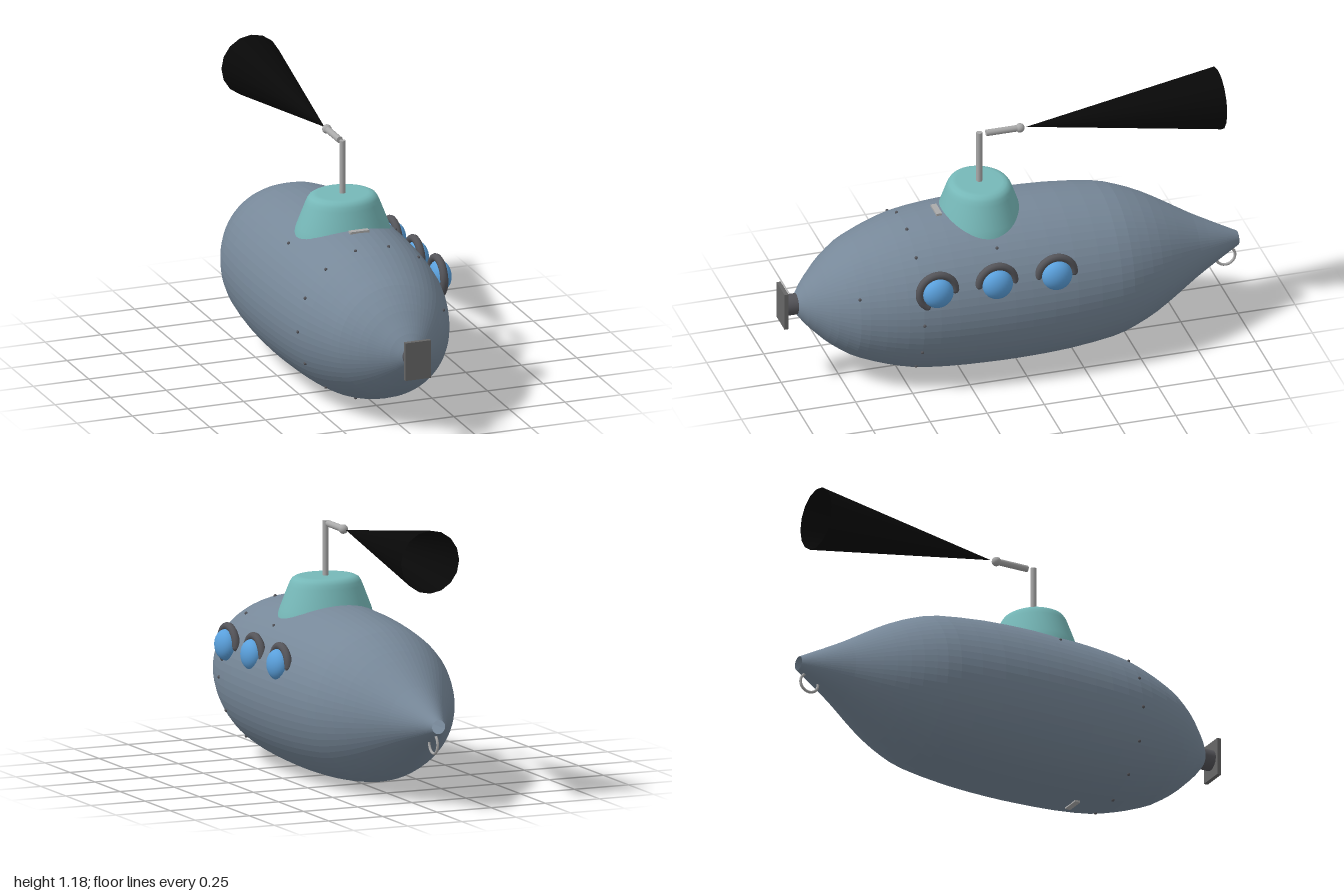
import * as THREE from 'three';

const CX = -0.008, CY = 0.362; // hull axis

const mat = (color, extra = {}) => new THREE.MeshStandardMaterial({ color, ...extra });

export function createModel() {
  const model = new THREE.Group();
  model.name = 'submarine';

  const hullMat = mat(0x778899, { flatShading: true, side: THREE.DoubleSide });
  const towerMat = mat(0x76b8b8);
  const darkMat = mat(0x55555a);
  const plateMat = mat(0x666666);
  const pipeMat = mat(0xaaaaaa);
  const glassMat = mat(0x5aa0dc);
  const blackMat = mat(0x080808, { side: THREE.DoubleSide });

  const add = (name, geometry, material, x, y, z, parent = model) => {
    const mesh = new THREE.Mesh(geometry, material);
    mesh.name = name;
    mesh.position.set(x, y, z);
    parent.add(mesh);
    return mesh;
  };

  // Hull: turned profile (radius, z) running from the open tail to the nose
  const profile = new THREE.SplineCurve([
    [0.03, -1], [0.083, -0.9], [0.138, -0.8], [0.2, -0.7], [0.258, -0.6], [0.302, -0.5],
    [0.331, -0.4], [0.354, -0.2], [0.361, 0], [0.359, 0.15], [0.351, 0.32], [0.333, 0.47],
    [0.303, 0.58], [0.277, 0.65], [0.246, 0.72], [0.19, 0.8], [0.143, 0.85], [0.09, 0.9], [0.035, 0.94],
  ].map(([r, z]) => new THREE.Vector2(r, z)));
  add('hull', new THREE.LatheGeometry(profile.getPoints(36), 64).rotateX(Math.PI / 2), hullMat, CX, CY, 0);

  // Nose: short neck and square plate
  add('noseNeck', new THREE.CylinderGeometry(0.045, 0.045, 0.07, 24).rotateX(Math.PI / 2), darkMat, CX, 0.365, 0.95);
  add('nosePlate', new THREE.BoxGeometry(0.115, 0.167, 0.018), plateMat, CX, 0.365, 0.991);

  // Tail ring
  add('tailRing', new THREE.TorusGeometry(0.042, 0.006, 8, 28).rotateY(Math.PI / 2), pipeMat, CX, 0.283, -0.948);

  // Conning tower: oval, with a softened top edge
  const towerProfile = [
    [0.217, 0.6], [0.208, 0.65], [0.197, 0.69], [0.16, 0.785], [0.152, 0.803],
    [0.143, 0.816], [0.128, 0.824], [0.11, 0.826], [0, 0.826],
  ].map(([r, y]) => new THREE.Vector2(r, y));
  add('tower', new THREE.LatheGeometry(towerProfile, 48).scale(1, 1, 0.88), towerMat, CX, 0, 0.13);

  // Periscope: mast, arm, joint and long open cone
  const periscope = new THREE.Group();
  periscope.name = 'periscope';
  model.add(periscope);
  add('mast', new THREE.CylinderGeometry(0.013, 0.013, 0.25, 16), pipeMat, CX, 0.933, 0.13, periscope);
  add('arm', new THREE.CylinderGeometry(0.014, 0.014, 0.14, 16).rotateX(Math.PI / 2), pipeMat, CX, 1.05, 0.03, periscope);
  add('joint', new THREE.SphereGeometry(0.02, 20, 14), pipeMat, CX, 1.05, -0.048, periscope);
  add('cone', new THREE.ConeGeometry(0.134, 0.84, 16, 1, true).rotateX(Math.PI / 2), blackMat, CX, 1.05, -0.495, periscope);

  // Portholes on the left side, each with a hood; the front hood wraps further round
  [[0.41, 235], [0.15, 180], [-0.11, 180]].forEach(([z, degrees]) => {
    const porthole = new THREE.Group();
    porthole.name = 'porthole';
    porthole.position.set(0.31, 0.508, z);
    model.add(porthole);
    add('window', new THREE.SphereGeometry(0.066, 28, 18).scale(0.7, 1, 1), glassMat, 0.011, 0, 0, porthole);
    const arc = THREE.MathUtils.degToRad(degrees);
    add('hood', new THREE.TorusGeometry(0.078, 0.017, 10, 32, arc).rotateY(Math.PI / 2), darkMat, 0, 0, 0, porthole);
    for (const a of [0, arc]) {
      add('hoodEnd', new THREE.SphereGeometry(0.017, 10, 8), darkMat,
        0, 0.078 * Math.sin(a), -0.078 * Math.cos(a), porthole);
    }
  });

  // Rivets: a ring round the bow, one of them set further forward, and one each side of the tower
  const rivet = new THREE.SphereGeometry(0.007, 10, 8);
  for (let i = 0; i < 14; i++) {
    const a = (i / 14) * Math.PI * 2;
    const [r, z] = i === 1 ? [0.247, 0.72] : [0.334, 0.47];
    add('rivet', rivet, darkMat, CX + r * Math.cos(a), CY + r * Math.sin(a), z);
  }
  for (const side of [-1, 1]) add('rivet', rivet, darkMat, CX + side * 0.24, 0.63, 0.125);

  // Small plates on the top and bottom of the hull
  for (const [name, y] of [['topPlate', 0.714], ['bottomPlate', 0.011]]) {
    add(name, new THREE.BoxGeometry(0.085, 0.012, 0.025), pipeMat, CX, y, 0.318);
  }

  return model;
}
